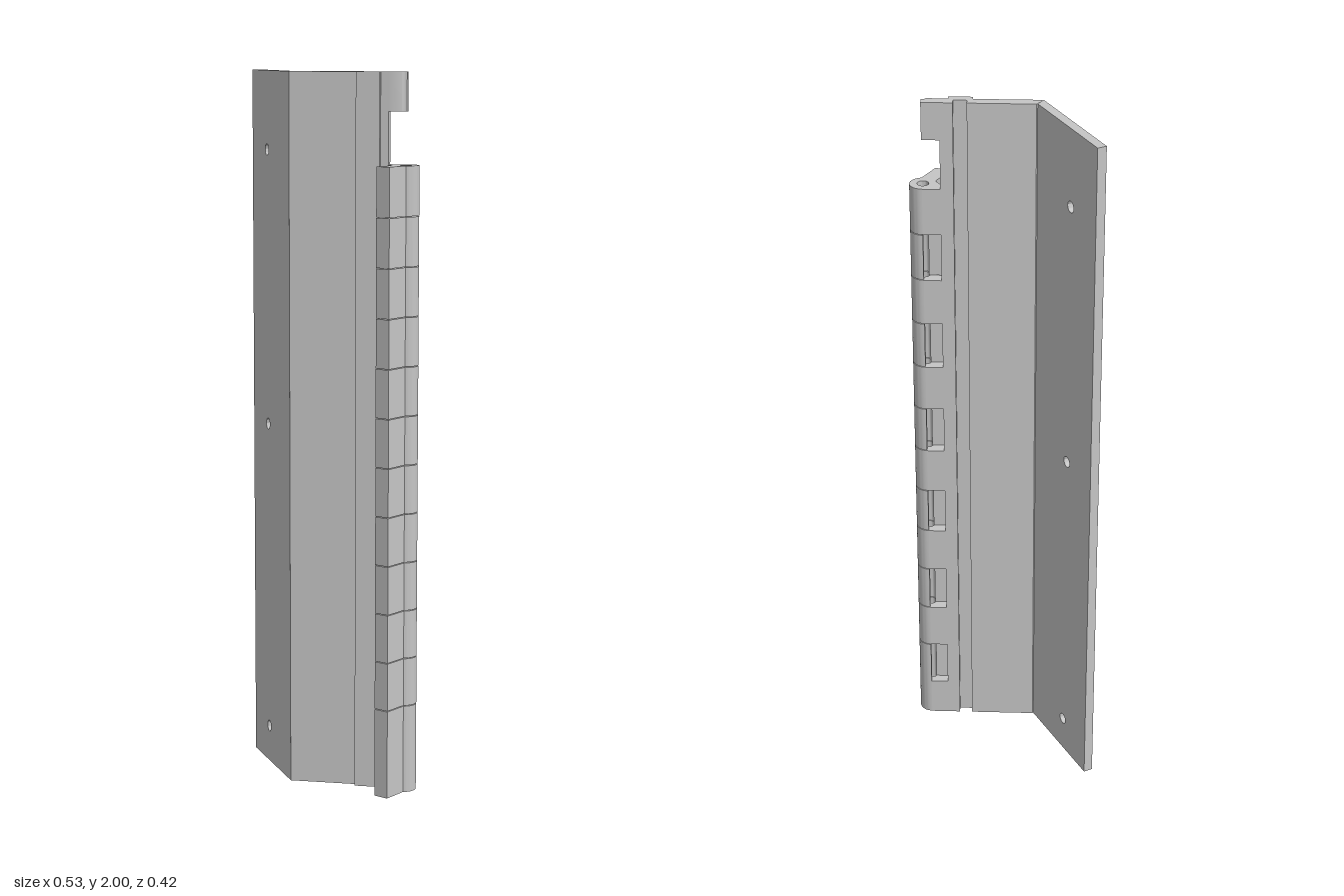
import * as THREE from 'three';
import { toCreasedNormals } from 'three/addons/utils/BufferGeometryUtils.js';

const CX = 0.227, CZ = 0.106, R_OUT = 0.037, R_PIN = 0.016; // hinge axis and radii
const BACK = 0.068, FRONT = 0.097, EDGE = 0.178;            // faces and hinge edge of the flat leaf
const KNUCKLES = 12, FIRST = 0.25, STEP = 1.5 / 11, GAP = 0.002;

// points on a circle round the hinge axis, angles in degrees
function arc(r, from, to, n) {
  return Array.from({ length: n + 1 }, (_, i) => {
    const a = THREE.MathUtils.degToRad(from + (to - from) * i / n);
    return [CX + r * Math.cos(a), CZ + r * Math.sin(a)];
  });
}

// upright prism from an (x, z) outline
function prism(outline, y0, y1) {
  const shape = new THREE.Shape(outline.map(([x, z]) => new THREE.Vector2(x, -z)));
  const geo = new THREE.ExtrudeGeometry(shape, { depth: y1 - y0, bevelEnabled: false });
  geo.rotateX(-Math.PI / 2).translate(0, y0, 0);
  return toCreasedNormals(geo, 0.6);
}

// angled wing with three screw holes, mitred where it meets the flat leaf
function wingGeometry() {
  const length = 0.3357, thick = 0.0265, mitre = 0.0155;
  const wing = new THREE.Shape([[0, 0], [length, 0], [length, 2], [0, 2]]
    .map(([u, y]) => new THREE.Vector2(u, y)));
  for (const y of [0.105, 1, 1.78]) {
    wing.holes.push(new THREE.Path().absarc(0.135, y, 0.016, 0, Math.PI * 2, true));
  }
  const geo = new THREE.ExtrudeGeometry(wing, { depth: thick, bevelEnabled: false, curveSegments: 20 });
  const pos = geo.attributes.position;
  const along = new THREE.Vector3(0.166, 0, 0.292).normalize();
  const inward = new THREE.Vector3(along.z, 0, -along.x);
  for (let i = 0; i < pos.count; i++) {
    const t = thick - pos.getZ(i); // depth measured from the outer face
    let u = pos.getX(i);
    if (u > length - 0.001) u -= mitre * t / thick;
    pos.setXYZ(i, -0.263 + along.x * u + inward.x * t, pos.getY(i), -0.195 + along.z * u + inward.z * t);
  }
  return toCreasedNormals(geo, 0.6);
}

export function createModel() {
  const model = new THREE.Group();
  model.name = 'hinge';
  const steel = new THREE.MeshStandardMaterial({ color: 0xc6c6c6 });
  steel.name = 'grey steel';
  const add = (name, geo) => {
    const mesh = new THREE.Mesh(geo, steel);
    mesh.name = name;
    model.add(mesh);
  };

  // flat leaf with a groove behind and a rib in front
  add('flatLeaf', prism([
    [-0.097, FRONT], [-0.079, BACK], [0.105, BACK], [0.105, 0.087], [0.142, 0.087],
    [0.142, BACK], [EDGE, BACK], [EDGE, FRONT], [0.156, FRONT], [0.156, 0.111],
    [0.09, 0.111], [0.09, FRONT],
  ], 0, 2));
  add('angledWing', wingGeometry());

  // knuckle outline: curl round the pin hole plus the short slanted leaf
  const knuckle = [
    ...arc(R_OUT, -90, 80, 20),
    [0.199, 0.208], [0.16, 0.188], [0.194, 0.122], [0.176, FRONT],
    ...arc(R_PIN, 214, -90, 28),
  ];
  // bridge from the flat leaf to the curl, left out where the back is open
  const bridge = [[EDGE, BACK], [CX, BACK], ...arc(R_PIN, -90, -146, 6), [EDGE, FRONT]];

  for (let i = 0; i < KNUCKLES; i++) {
    const top = FIRST + STEP * i - (i < KNUCKLES - 1 ? GAP / 2 : 0);
    const bottom = i ? FIRST + STEP * (i - 1) + GAP / 2 : 0;
    add('knuckle', prism(knuckle, bottom, top));
    if (i % 2) add('bridge', prism(bridge, bottom, top));
  }
  add('bottomBridge', prism(bridge, 0, FIRST - STEP));

  // tab above the knuckles
  add('topTab', prism(bridge, 1.893, 2));
  return model;
}
